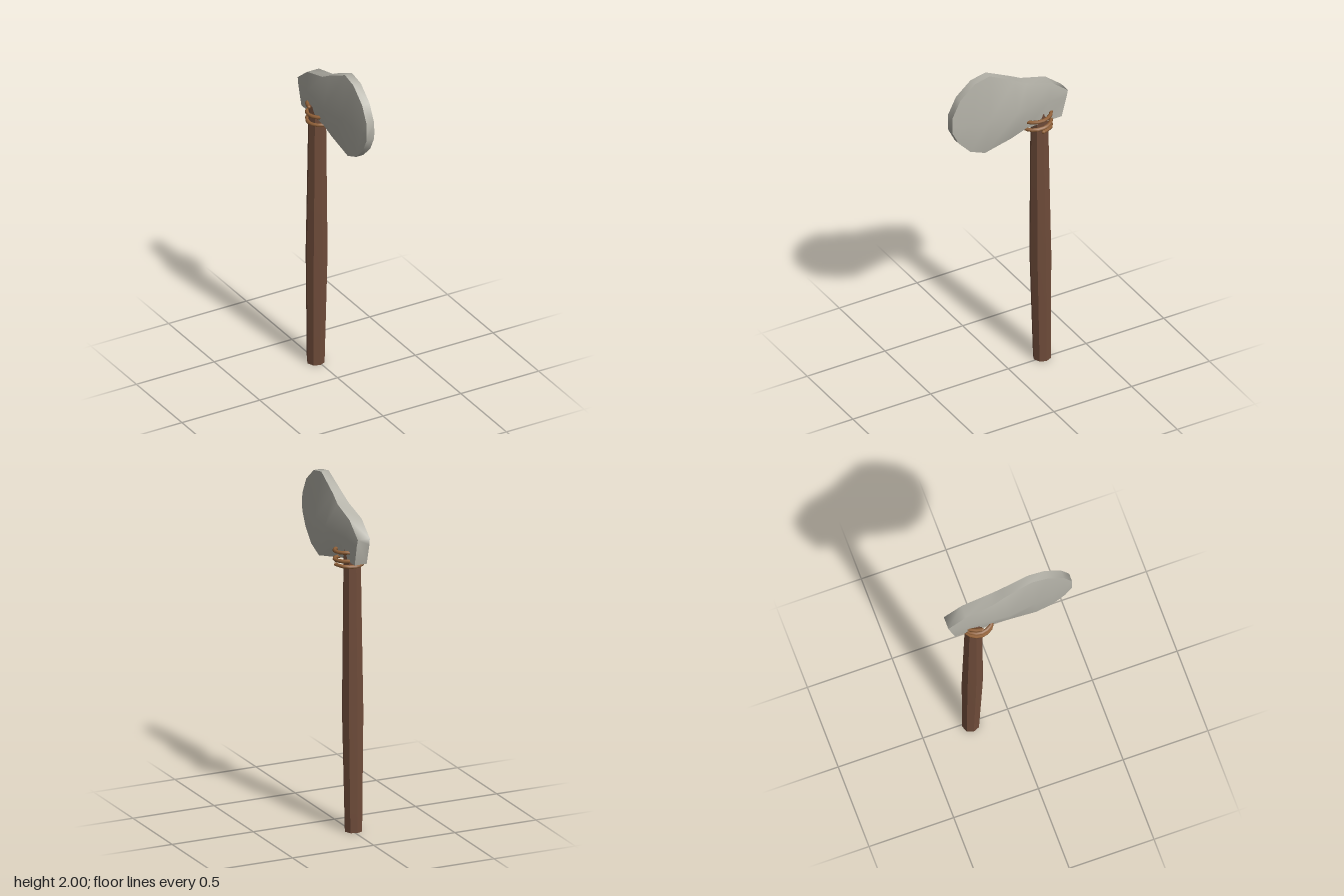
import * as THREE from 'three';
import { toCreasedNormals } from 'three/addons/utils/BufferGeometryUtils.js';

function material(name, color) {
  const m = new THREE.MeshStandardMaterial({ color });
  m.name = name;
  return m;
}

// Skins a row of closed rings (front to back) and caps both ends.
function skin(rings) {
  const n = rings[0].length, index = [];
  const id = (s, i) => s * n + (i % n);
  for (let s = 0; s < rings.length - 1; s++) {
    for (let i = 0; i < n; i++) {
      const a = id(s, i), b = id(s, i + 1), c = id(s + 1, i + 1), d = id(s + 1, i);
      index.push(a, b, d, b, c, d);
    }
  }
  const last = rings.length - 1;
  for (let i = 1; i < n - 1; i++) {
    index.push(id(0, 0), id(0, i + 1), id(0, i));
    index.push(id(last, 0), id(last, i), id(last, i + 1));
  }
  const g = new THREE.BufferGeometry();
  g.setAttribute('position', new THREE.Float32BufferAttribute(rings.flat(2), 3));
  g.setIndex(index);
  return g;
}

export function createModel() {
  const stone = material('stone grey', 0xb5b3a9);
  const wood = material('dark wood', 0x6f4c3a);
  const cord = material('tan cord', 0x94633a);
  const model = new THREE.Group();
  model.name = 'axe';
  const add = (name, geometry, mat) => {
    const mesh = new THREE.Mesh(geometry, mat);
    mesh.name = name;
    model.add(mesh);
  };

  // Head: top z, top y, bottom z, bottom y, rim half width, bulge half width
  const sections = [
    [0.37, 1.80, 0.37, 1.70, 0.024, 0.025],
    [0.32, 1.90, 0.33, 1.62, 0.024, 0.032],
    [0.225, 1.98, 0.255, 1.54, 0.024, 0.043],
    [0.13, 2.00, 0.16, 1.50, 0.023, 0.055],
    [-0.03, 1.92, -0.01, 1.545, 0.028, 0.075],
    [-0.10, 1.88, -0.09, 1.58, 0.034, 0.069],
    [-0.26, 1.835, -0.20, 1.59, 0.037, 0.054],
    [-0.365, 1.75, -0.325, 1.59, 0.037, 0.039],
  ];
  const cx = -0.005;
  const rings = sections.map(([zt, yt, zb, yb, rim, bulge]) => {
    const ym = THREE.MathUtils.clamp(1.73, yb + 0.04, yt - 0.04);
    const zm = THREE.MathUtils.lerp(zb, zt, (ym - yb) / (yt - yb));
    return [
      [cx + rim, yt, zt], [cx + bulge, ym, zm], [cx + rim, yb, zb],
      [cx - rim, yb, zb], [cx - bulge, ym, zm], [cx - rim, yt, zt],
    ];
  });
  add('head', toCreasedNormals(skin(rings), 1.3), stone);

  // Handle: eight-sided, swelling in the middle; y, radius, centre z
  const stations = [
    [1.65, 0.05, -0.205], [1.2, 0.056, -0.208], [0.7, 0.063, -0.212], [0, 0.051, -0.222],
  ];
  const handleRings = stations.map(([y, r, z]) =>
    Array.from({ length: 8 }, (_, i) => {
      const t = (i * Math.PI) / 4;
      return [-0.01 + r * Math.cos(t), y, z + r * Math.sin(t)];
    }));
  add('handle', toCreasedNormals(skin(handleRings), 0.6), wood);

  // Cord wound around the neck, with a nearly flat first turn
  const points = [];
  for (let i = -4; i <= 16; i++) {
    const t = Math.PI + (i * Math.PI) / 4;
    points.push(new THREE.Vector3(
      0.078 * Math.cos(t),
      1.56 + Math.max(i, 0) * 0.00625,
      -0.18 - 0.085 * Math.sin(t)));
  }
  const coil = new THREE.CatmullRomCurve3(points);
  add('binding', new THREE.TubeGeometry(coil, 40, 0.011, 6, false), cord);
  // Rounded cord ends
  for (const p of [points[0], points[points.length - 1]]) {
    add('bindingEnd', new THREE.SphereGeometry(0.011, 6, 4).translate(p.x, p.y, p.z), cord);
  }
  return model;
}
